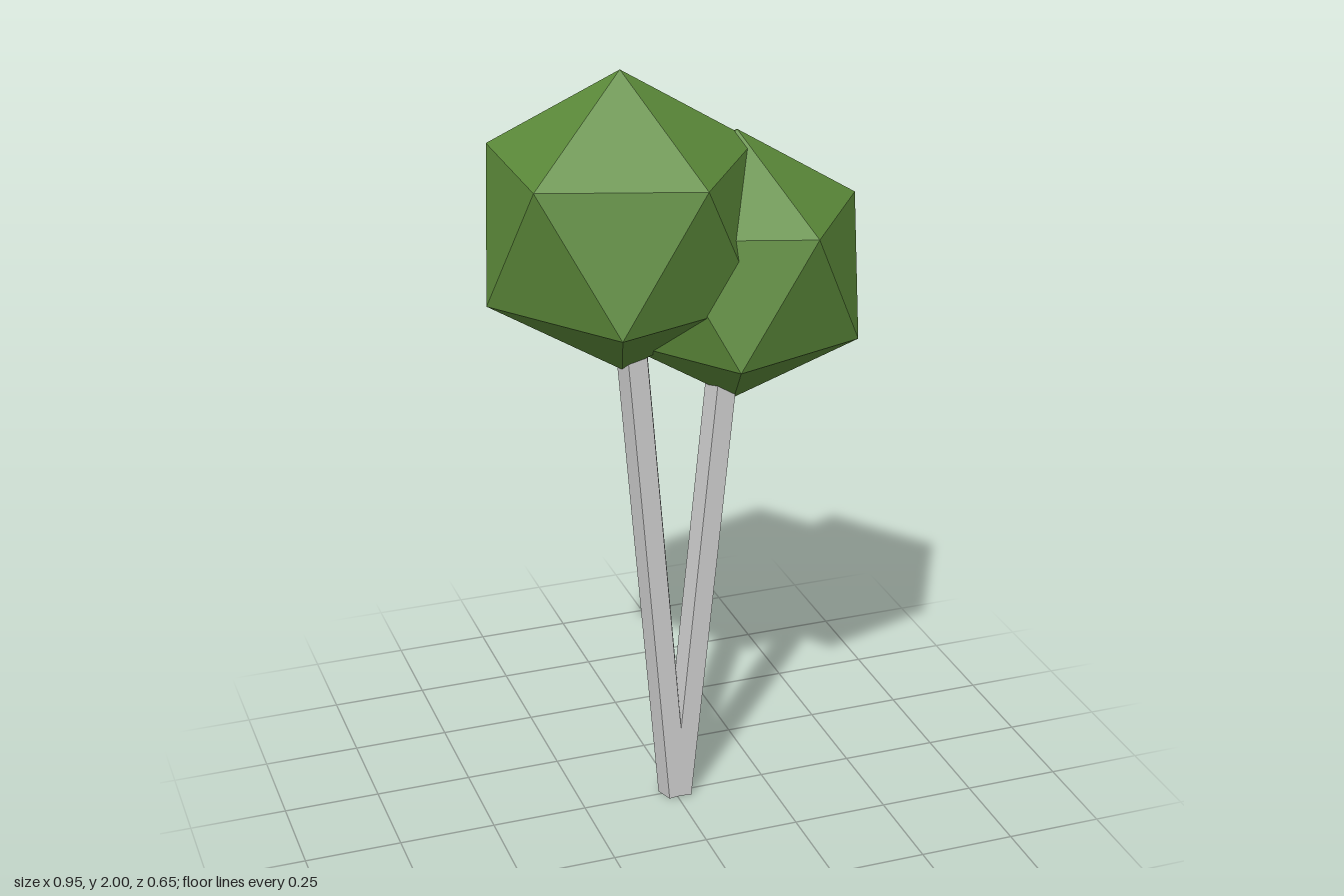
import * as THREE from 'three';

const bark = new THREE.MeshStandardMaterial({ color: 0xcccccc, flatShading: true });
const leaf = new THREE.MeshStandardMaterial({ color: 0x5c8a3a, flatShading: true });

// Icosahedron standing on a corner, with an upper corner pointing to +x
function crown(name, x, y, radius) {
  const geometry = new THREE.IcosahedronGeometry(radius, 0);
  geometry.rotateX(-Math.atan((1 + Math.sqrt(5)) / 2));
  geometry.rotateY(Math.PI / 2);
  const mesh = new THREE.Mesh(geometry, leaf);
  mesh.name = name;
  mesh.position.set(x, y, 0);
  return mesh;
}

// Five-sided leaning trunk with a flat face to the front, running up into its crown
function trunk(name, x0, x1, y1) {
  const y0 = 0.004;
  const geometry = new THREE.CylinderGeometry(0.042, 0.042, Math.hypot(x1 - x0, y1 - y0), 5);
  geometry.rotateY(Math.PI);
  const mesh = new THREE.Mesh(geometry, bark);
  mesh.name = name;
  mesh.position.set((x0 + x1) / 2, (y0 + y1) / 2, 0);
  mesh.rotation.z = -Math.atan2(x1 - x0, y1 - y0);
  return mesh;
}

export function createModel() {
  const tree = new THREE.Group();
  tree.name = 'tree';
  tree.add(
    trunk('rightTrunk', 0, -0.125, 1.5),
    trunk('leftTrunk', 0.012, 0.15, 1.4),
    crown('largeCrown', -0.135, 1.62, 0.38),
    crown('smallCrown', 0.16, 1.475, 0.35)
  );
  return tree;
}
